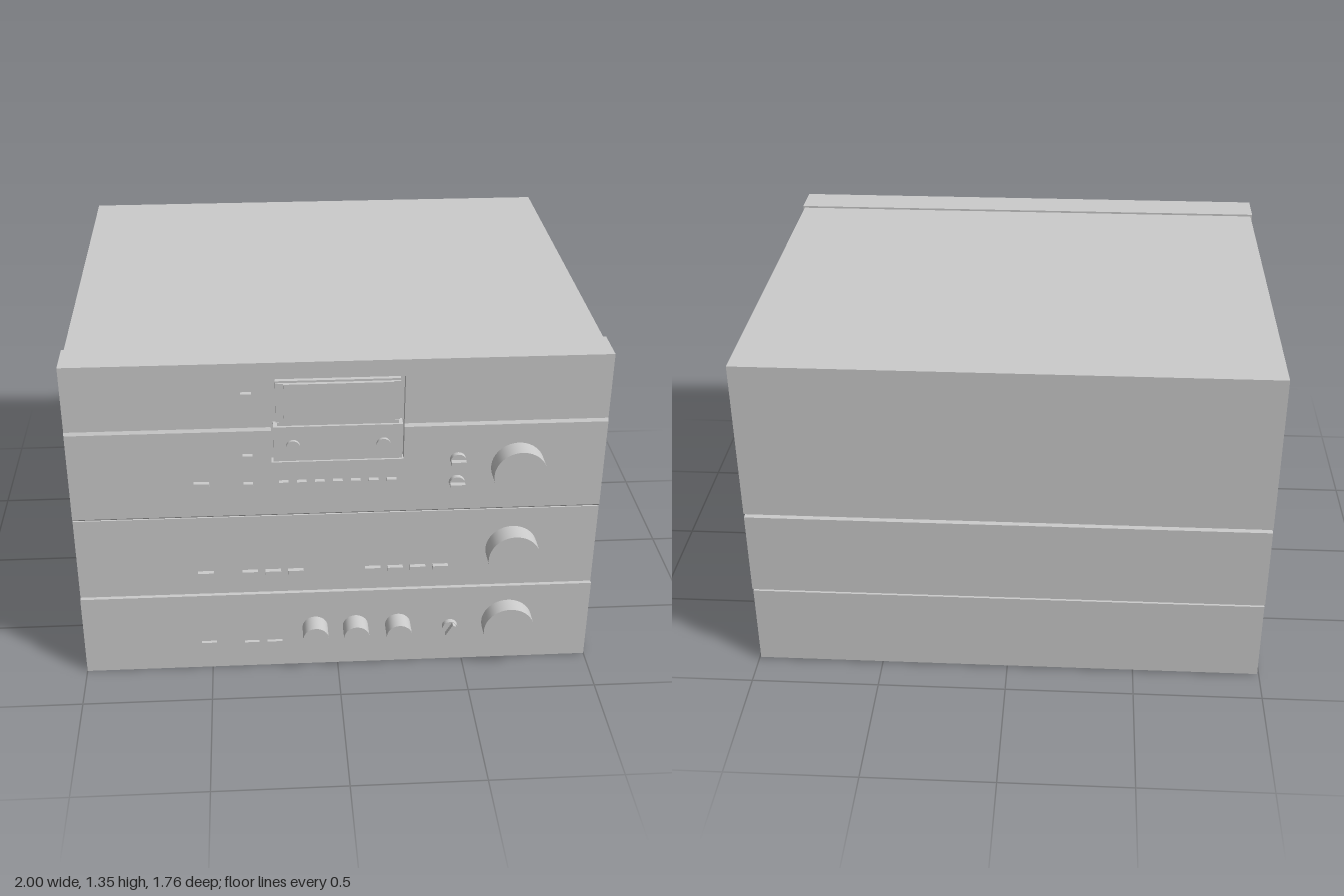
import * as THREE from 'three';

const grey = new THREE.MeshStandardMaterial({ color: 0xcccccc });

function add(parent, name, geometry, x = 0, y = 0, z = 0) {
  const mesh = new THREE.Mesh(geometry, grey);
  mesh.name = name;
  mesh.position.set(x, y, z);
  parent.add(mesh);
  return mesh;
}

// Box given by its extents on each axis
function block(parent, name, x0, x1, y0, y1, z0, z1) {
  return add(parent, name, new THREE.BoxGeometry(x1 - x0, y1 - y0, z1 - z0),
    (x0 + x1) / 2, (y0 + y1) / 2, (z0 + z1) / 2);
}

// Outline in x and y, extruded from z0 to z1
function plate(parent, name, points, z0, z1) {
  const shape = new THREE.Shape(points.map(([x, y]) => new THREE.Vector2(x, y)));
  return add(parent, name, new THREE.ExtrudeGeometry(shape, { depth: z1 - z0, bevelEnabled: false }), 0, 0, z0);
}

// Cylinder facing the front
function knob(parent, name, x, y, r, z0, z1) {
  const g = new THREE.CylinderGeometry(r, r, z1 - z0, 48).rotateX(Math.PI / 2);
  return add(parent, name, g, x, y, (z0 + z1) / 2);
}

// Small round switch with a raised grip bar
function selector(parent, x, y, z, angle) {
  knob(parent, 'selectorBase', x, y, 0.03, z, z + 0.02);
  const grip = add(parent, 'selectorGrip', new THREE.BoxGeometry(0.056, 0.015, 0.022), x, y, z + 0.029);
  grip.rotation.z = angle;
}

function buttons(parent, xs, y, w, h, z) {
  for (const x of xs) block(parent, 'button', x - w / 2, x + w / 2, y - h / 2, y + h / 2, z - 0.01, z + 0.018);
}

function unit(root, name, y0, y1, back, frontBack) {
  const g = new THREE.Group();
  g.name = name;
  root.add(g);
  block(g, 'case', -0.992, 0.992, y0 + 0.009, y1 - 0.006, back, frontBack - 0.005);
  return g;
}

export function createModel() {
  const root = new THREE.Group();
  root.name = 'stereoStack';

  // Amplifier at the bottom
  const amp = unit(root, 'amplifier', 0, 0.348, -0.868, 0.65);
  block(amp, 'frontPanel', -1, 1, 0, 0.348, 0.65, 0.8);
  knob(amp, 'volumeKnob', 0.673, 0.18, 0.1, 0.79, 0.867);
  for (const x of [-0.09, 0.07, 0.238]) knob(amp, 'toneKnob', x, 0.18, 0.05, 0.79, 0.88);
  selector(amp, 0.446, 0.165, 0.8, Math.PI / 3);
  buttons(amp, [-0.51], 0.122, 0.06, 0.014, 0.795);
  buttons(amp, [-0.34, -0.25], 0.118, 0.058, 0.014, 0.795);

  // Tuner in the middle
  const tuner = unit(root, 'tuner', 0.348, 0.7, -0.878, 0.637);
  block(tuner, 'frontPanel', -1, 1, 0.35, 0.7, 0.637, 0.787);
  knob(tuner, 'tuningKnob', 0.673, 0.52, 0.1, 0.78, 0.867);
  buttons(tuner, [-0.51, -0.34, -0.25, -0.163, 0.135, 0.222, 0.31, 0.398], 0.445, 0.06, 0.022, 0.787);

  // Tape deck on top, its front split around the cassette opening
  const deck = unit(root, 'tapeDeck', 0.7, 1.346, -0.878, 0.637);
  const L = -0.248, R = 0.243, step = 1.072, zu = 0.785, zl = 0.791;
  block(deck, 'frontPanelBack', -1, 1, 0.703, 1.346, 0.637, 0.755);
  plate(deck, 'upperFrontPlate', [[-1, 1.084], [L, 1.084], [L, 1.28], [R, 1.28], [R, 1.084],
    [1, 1.084], [1, 1.346], [-1, 1.346]], 0.755, zu);
  plate(deck, 'lowerFrontPlate', [[-1, 0.71], [1, 0.71], [1, step], [R, step], [R, 0.937],
    [L, 0.937], [L, step], [-1, step]], 0.755, zl);

  // Sloped edges of the lower plate, along its top and bottom
  const slope = (name, x0, x1, ya, za, yb, zb) => {
    const s = new THREE.Shape();
    s.moveTo(-0.755, ya).lineTo(-za, ya).lineTo(-zb, yb).lineTo(-0.755, yb);
    const g = new THREE.ExtrudeGeometry(s, { depth: x1 - x0, bevelEnabled: false }).rotateY(Math.PI / 2);
    add(deck, name, g, x0);
  };
  slope('stepSlope', -1, L, step, zl, 1.084, zu);
  slope('stepSlope', R, 1, step, zl, 1.084, zu);
  slope('bottomSlope', -1, 1, 0.703, zu, 0.71, zl);

  // Cassette door: lower cover with two studs, window frame above
  const door = new THREE.Group();
  door.name = 'cassetteDoor';
  deck.add(door);
  block(door, 'doorCover', -0.24, 0.236, 0.947, 1.09, 0.75, 0.8);
  block(door, 'coverTopLip', -0.225, 0.222, 1.09, 1.104, 0.75, 0.79);
  for (const x of [-0.168, 0.165]) knob(door, 'doorStud', x, 1.01, 0.026, 0.79, 0.812);
  block(door, 'window', -0.2, 0.2, 1.104, 1.262, 0.75, 0.796);
  for (const [a, b] of [[-0.23, -0.2], [0.2, 0.226]]) block(door, 'windowSide', a, b, 1.104, 1.262, 0.75, 0.788);
  block(door, 'windowTop', -0.23, 0.226, 1.262, 1.27, 0.75, 0.782);

  // Deck controls
  knob(deck, 'levelKnob', 0.673, 0.892, 0.1, 0.78, 0.867);
  for (const y of [0.928, 0.83]) selector(deck, 0.446, y, 0.79, 0);
  buttons(deck, [-0.51], 0.852, 0.058, 0.02, zl);
  buttons(deck, [-0.336], 1.222, 0.04, 0.018, zu);
  buttons(deck, [-0.336], 0.97, 0.038, 0.014, zl);
  buttons(deck, [-0.336], 0.85, 0.036, 0.012, zl);
  buttons(deck, Array.from({ length: 7 }, (_, i) => -0.204 + i * 0.0672), 0.852, 0.036, 0.014, zl);

  return root;
}
